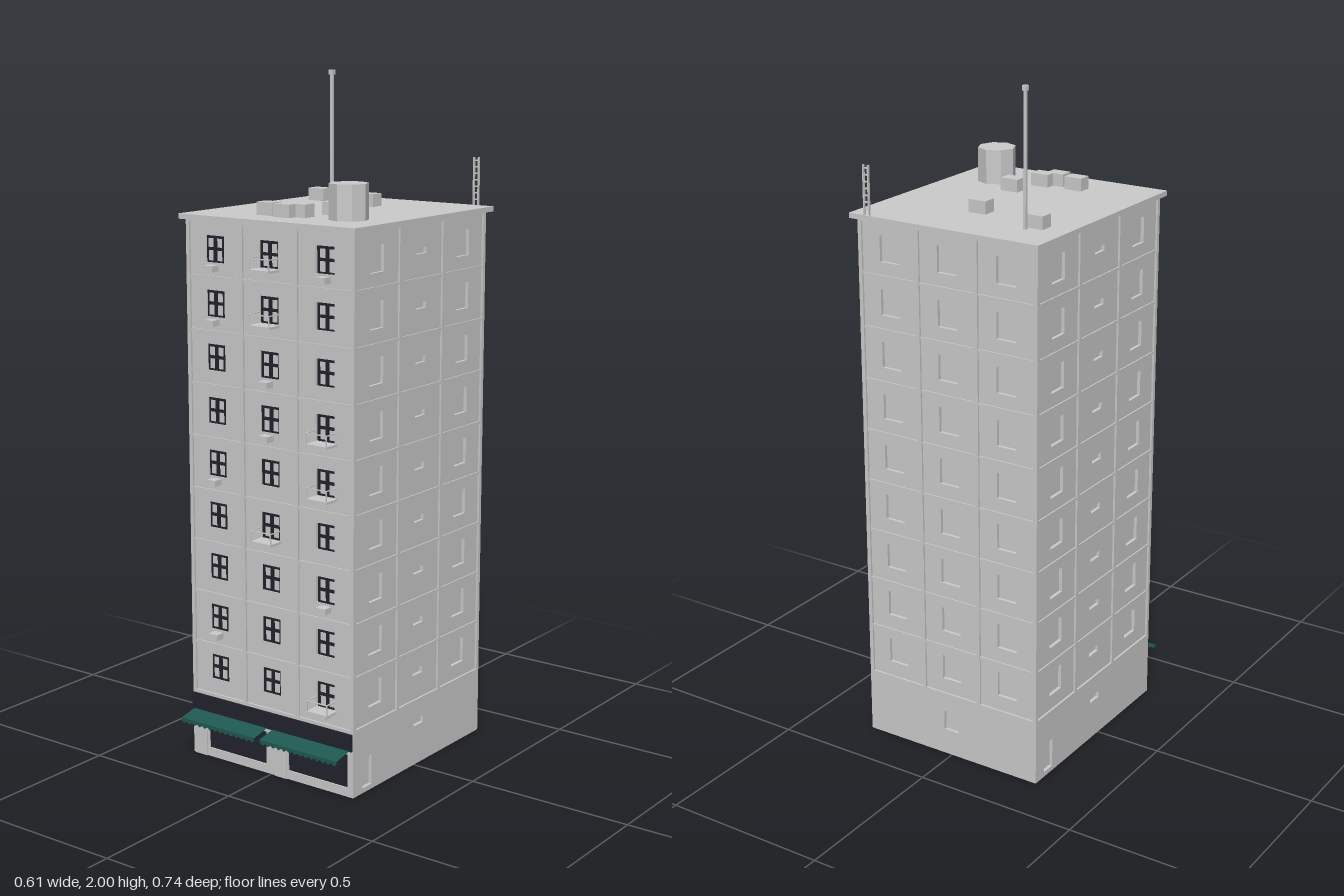
import * as THREE from 'three';

const mat = (name, color, side = THREE.FrontSide) => {
  const m = new THREE.MeshStandardMaterial({ color, side });
  m.name = name;
  return m;
};

export function createModel() {
  const concrete = mat('concrete grey', 0xcccccc, THREE.DoubleSide);
  const dark = mat('dark glass', 0x22222d);
  const teal = mat('awning teal', 0x1f5953, THREE.DoubleSide);
  const model = new THREE.Group();
  model.name = 'apartmentBlock';

  const add = (parent, name, geo, material, x = 0, y = 0, z = 0) => {
    const m = new THREE.Mesh(geo, material);
    m.name = name;
    m.position.set(x, y, z);
    parent.add(m);
    return m;
  };
  const box = (parent, name, material, x0, x1, y0, y1, z0, z1) =>
    add(parent, name, new THREE.BoxGeometry(x1 - x0, y1 - y0, z1 - z0), material,
      (x0 + x1) / 2, (y0 + y1) / 2, (z0 + z1) / 2);

  // Wall slab with openings; its outer face lies at z
  const wall = (parent, name, w, y0, y1, holes, z) => {
    const rect = (P, a, b, c, d) => {
      const p = new P();
      p.moveTo(a, c); p.lineTo(b, c); p.lineTo(b, d); p.lineTo(a, d); p.closePath();
      return p;
    };
    const shape = rect(THREE.Shape, -w / 2, w / 2, y0, y1);
    for (const [x, y, hw, hh] of holes) {
      shape.holes.push(rect(THREE.Path, x - hw / 2, x + hw / 2, y - hh / 2, y + hh / 2));
    }
    add(parent, name, new THREE.ExtrudeGeometry(shape, { depth: 0.01, bevelEnabled: false }), concrete, 0, 0, z - 0.01);
  };

  const BASE = 0.2, TOP = 1.6, FLOORS = 9, STEP = (TOP - BASE) / FLOORS;
  const floorY = i => 0.283 + i * 0.1546;
  const WIN_W = 0.064, WIN_H = 0.076;

  // One side: recessed windows, pilasters, floor bands and ground floor wall
  const facade = (name, w, dist, angle, slotBay, baseHoles, backBase) => {
    const g = new THREE.Group();
    g.name = name;
    g.rotation.y = angle;
    const bay = (w - 0.012) / 3, z = dist - 0.006;
    const holes = [];
    for (let f = 0; f < FLOORS; f++) for (let b = -1; b <= 1; b++) {
      holes.push(b === slotBay ? [b * bay, floorY(f), 0.05, 0.018] : [b * bay, floorY(f), WIN_W, WIN_H]);
    }
    wall(g, 'upperWall', w - 0.012, BASE, TOP, holes, z);
    add(g, 'windowBacking', new THREE.PlaneGeometry(w - 0.03, TOP - BASE), concrete, 0, (TOP + BASE) / 2, z - 0.01);
    wall(g, 'groundFloorWall', w, 0, BASE, baseHoles, dist);
    if (backBase) add(g, 'doorBacking', new THREE.PlaneGeometry(w - 0.03, BASE), concrete, 0, BASE / 2, dist - 0.01);
    for (let i = 0; i < 4; i++) {
      const x = (i - 1.5) * bay;
      box(g, 'pilaster', concrete, x - 0.006, x + 0.006, BASE, TOP, z - 0.006, dist);
    }
    for (let i = 1; i <= FLOORS; i++) {
      const y = BASE + i * STEP;
      box(g, 'floorBand', concrete, -w / 2 + 0.006, w / 2 - 0.006, y - 0.008, y, z - 0.004, z + 0.004);
    }
    model.add(g);
    return g;
  };

  const W = 0.588, D = 0.654, ZC = -0.023;
  const shops = [[-0.125, 0.077, 0.216, 0.1], [0.169, 0.077, 0.212, 0.1]];
  const front = facade('frontFacade', W, D / 2, 0, null, shops, false);
  const back = facade('backFacade', W, D / 2, Math.PI, null, [[0, 0.11, 0.05, 0.06]], true);
  const left = facade('leftFacade', D, W / 2, Math.PI / 2, 0, [[-0.26, 0.06, 0.045, 0.09], [0, 0.13, 0.05, 0.02]], true);
  const right = facade('rightFacade', D, W / 2, -Math.PI / 2, 0, [[-0.26, 0.06, 0.045, 0.09], [0, 0.13, 0.05, 0.02]], true);
  for (const g of [front, back, left, right]) g.position.z = ZC;

  // Dark frames of the front windows
  const FZ = 0.304, WX = [-0.196, 0, 0.196];
  for (let f = 0; f < FLOORS; f++) for (const x of WX) {
    const y = floorY(f), hw = WIN_W / 2, hh = WIN_H / 2, z0 = 0.289, z1 = 0.295;
    const bar = (a, b, c, d) => box(model, 'windowFrame', dark, x + a, x + b, y + c, y + d, z0, z1);
    bar(-hw, hw, -0.004, 0.004);
    bar(-0.0045, 0.0045, -hh, hh);
    bar(-hw, hw, hh - 0.008, hh);
    bar(-hw, hw, -hh, -hh + 0.004);
    bar(-hw, -hw + 0.005, -hh, hh);
    bar(hw - 0.005, hw, -hh, hh);
  }

  // Air conditioners as [column, floor]
  for (const [c, f] of [[0, 8], [0, 7], [0, 4], [0, 1], [1, 6], [1, 5], [2, 8], [2, 2], [2, 0]]) {
    const x = WX[c] - 0.004 * Math.sign(c - 0.5) * (c === 1 ? 1 : 0), y = floorY(f) - 0.053;
    box(model, 'airConditioner', concrete, x - 0.016, x + 0.016, y - 0.009, y + 0.009, 0.295, 0.327);
  }

  // Small balconies with open rails
  for (const [c, f] of [[1, 8], [1, 7], [1, 3], [2, 5], [2, 4], [2, 0]]) {
    const x = WX[c], y = floorY(f) - 0.046, h = 0.036, t = 0.003;
    box(model, 'balconyFloor', concrete, x - 0.036, x + 0.036, y, y + 0.007, 0.296, 0.345);
    box(model, 'balconyRail', concrete, x - 0.036, x + 0.036, y + h, y + h + t, 0.342, 0.345);
    for (const s of [-1, 1]) {
      const px = x + s * 0.0345;
      box(model, 'balconyPost', concrete, px - t / 2, px + t / 2, y, y + h, 0.342, 0.345);
      box(model, 'balconySideRail', concrete, px - t / 2, px + t / 2, y + h, y + h + t, 0.296, 0.345);
    }
  }

  // Shop front: glass, doors and fascia
  for (const [x, y, w, h] of shops) {
    add(model, 'shopWindow', new THREE.PlaneGeometry(w, h), dark, x, y, FZ - 0.004);
  }
  for (const x of [-0.263, 0.036]) {
    box(model, 'shopDoor', concrete, x - 0.022, x + 0.022, 0, 0.118, FZ - 0.002, FZ + 0.003);
  }
  box(model, 'shopFascia', dark, -0.292, 0.292, 0.14, 0.19, FZ - 0.002, 0.311);

  // Two sloping awnings with a toothed valance
  for (const s of [-1, 1]) {
    const w = 0.275, yIn = 0.143, yOut = 0.13, zOut = 0.37, n = 14;
    const run = zOut - FZ, drop = yIn - yOut;
    const canopy = add(model, 'awning', new THREE.PlaneGeometry(w, Math.hypot(run, drop)), teal,
      s * 0.147, (yIn + yOut) / 2, (FZ + zOut) / 2);
    canopy.rotation.x = -Math.PI / 2 + Math.atan2(drop, run);
    const edge = new THREE.Shape();
    edge.moveTo(-w / 2, 0);
    for (let i = 0; i < n; i++) {
      edge.lineTo(-w / 2 + (i + 0.02) * w / n, -0.009);
      edge.lineTo(-w / 2 + (i + 0.5) * w / n, -0.016);
    }
    edge.lineTo(w / 2, -0.009);
    edge.lineTo(w / 2, 0);
    add(model, 'awningValance', new THREE.ShapeGeometry(edge), teal, s * 0.147, yOut, zOut);
  }

  // Roof slab and vents
  box(model, 'roofSlab', concrete, -0.307, 0.307, TOP, 1.615, -0.37, 0.32);
  for (const [x, z] of [[-0.208, -0.214], [0.008, -0.165], [0.068, 0.087], [-0.078, 0.197], [-0.008, 0.212], [0.026, 0.183]]) {
    box(model, 'roofVent', concrete, x - 0.028, x + 0.028, 1.61, 1.652, z - 0.021, z + 0.021);
  }

  // Water tank
  const tank = new THREE.CylinderGeometry(0.056, 0.056, 0.105, 8).toNonIndexed();
  tank.computeVertexNormals();
  add(model, 'waterTank', tank, concrete, 0.171, 1.6625, 0.16);

  // Antenna mast
  box(model, 'antennaMast', concrete, -0.196, -0.188, 1.61, 1.99, -0.256, -0.248);
  box(model, 'antennaTip', concrete, -0.199, -0.185, 1.986, 2, -0.259, -0.245);

  // Roof ladder at the back edge
  for (const x of [0.242, 0.258]) {
    box(model, 'ladderRail', concrete, x - 0.002, x + 0.002, 1.6, 1.755, -0.367, -0.36);
  }
  for (let i = 0; i < 7; i++) {
    const y = 1.63 + i * 0.019;
    box(model, 'ladderRung', concrete, 0.242, 0.258, y, y + 0.004, -0.366, -0.362);
  }
  return model;
}
